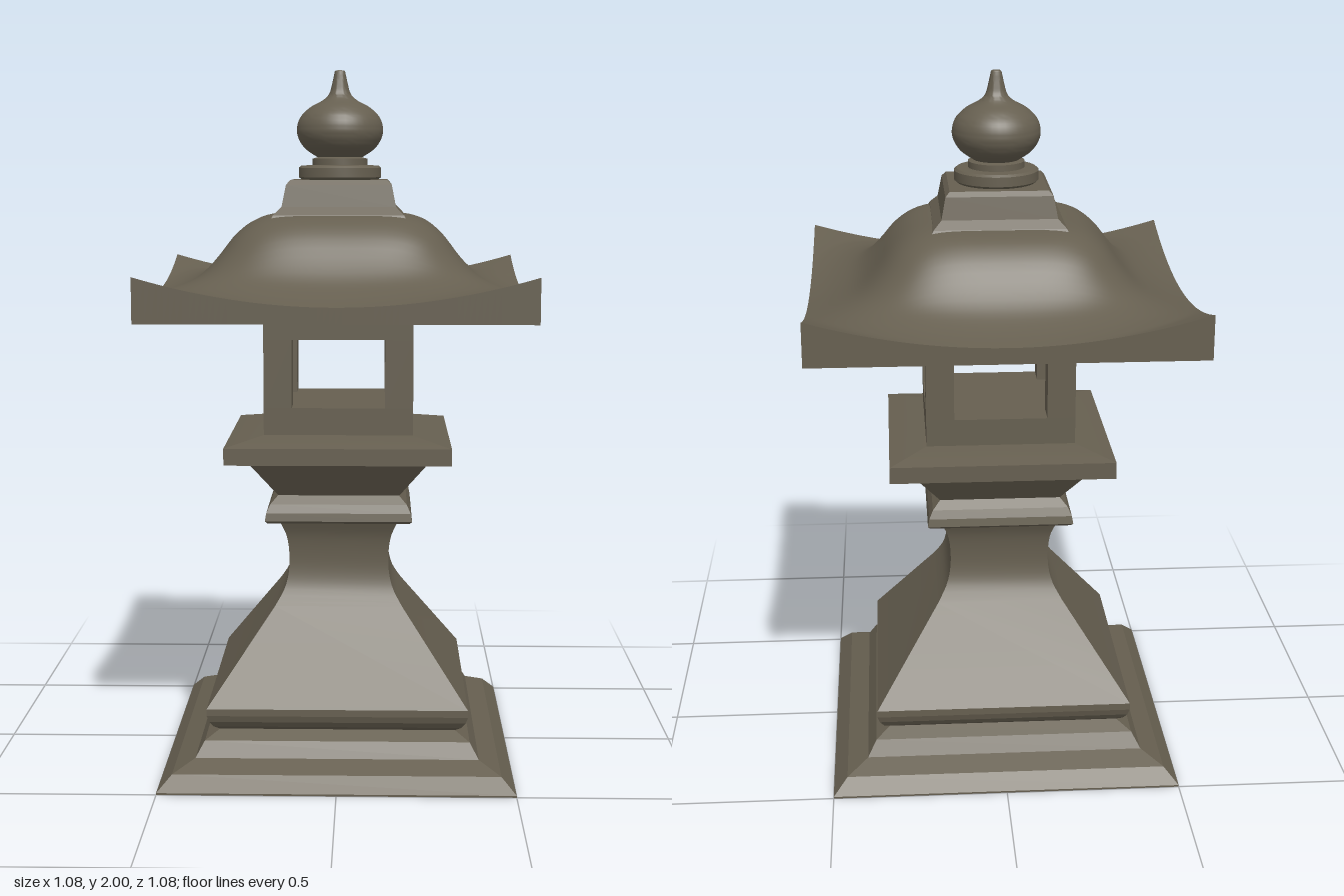
import * as THREE from 'three';
import { toCreasedNormals } from 'three/addons/utils/BufferGeometryUtils.js';

const stone = new THREE.MeshStandardMaterial({ color: 0x665f50 });
stone.name = 'weathered stone';

const vec = ([r, y]) => new THREE.Vector2(r, y);
const spline = (pts, n) => new THREE.SplineCurve(pts.map(vec)).getPoints(n).map((p) => [p.x, p.y]);

function add(parent, name, geometry) {
  const mesh = new THREE.Mesh(geometry, stone);
  mesh.name = name;
  parent.add(mesh);
  return mesh;
}

// square moulding: [half width, height] pairs from bottom to top, closed at both ends
function squareTurned(profile) {
  const closed = [[0, profile[0][1]], ...profile, [0, profile[profile.length - 1][1]]];
  const pts = closed.map(([r, y]) => vec([r * Math.SQRT2, y]));
  return toCreasedNormals(new THREE.LatheGeometry(pts, 4, Math.PI / 4), 0.24);
}

// roof height: a rounded-square dome that flares into upturned corners
const HALF = 0.54;
const dome = new THREE.SplineCurve([
  [0, 1.592], [0.1, 1.592], [0.19, 1.588], [0.25, 1.57], [0.3, 1.53], [0.34, 1.478],
  [0.38, 1.432], [0.42, 1.402], [0.48, 1.376], [0.54, 1.36],
].map(vec)).getPoints(180);
function domeHeight(d) {
  if (d >= HALF) return 1.36;
  const i = Math.max(1, dome.findIndex((p) => p.x >= d));
  const a = dome[i - 1], b = dome[i];
  return a.y + (b.y - a.y) * (d - a.x) / (b.x - a.x);
}
function roofHeight(x, z) {
  const d = Math.pow(x ** 4 + z ** 4, 0.25);
  return domeHeight(d) + 0.08 * ((x * z) / (HALF * HALF)) ** 2;
}
function roofGeometry() {
  const geo = new THREE.BoxGeometry(HALF * 2, 1, HALF * 2, 64, 1, 64);
  const p = geo.attributes.position;
  for (let i = 0; i < p.count; i++) {
    p.setY(i, p.getY(i) > 0 ? roofHeight(p.getX(i), p.getZ(i)) : 1.315);
  }
  geo.computeVertexNormals();
  return geo;
}

export function createModel() {
  const model = new THREE.Group();
  model.name = 'stoneLantern';

  // stepped plinth
  add(model, 'plinth', squareTurned([
    [0.5, 0], [0.5, 0.005], [0.46, 0.045], [0.4, 0.072], [0.375, 0.115], [0.335, 0.137],
  ]));

  // flared pedestal with a curved neck
  add(model, 'pedestal', squareTurned([
    [0.335, 0.137], [0.352, 0.149], [0.364, 0.166], [0.37, 0.185], [0.37, 0.205],
    ...spline([[0.185, 0.458], [0.158, 0.505], [0.146, 0.555], [0.145, 0.61], [0.152, 0.66], [0.168, 0.7]], 16),
  ]));

  // collar under the platform
  add(model, 'collar', squareTurned([
    [0.168, 0.7], [0.205, 0.708], [0.212, 0.715], [0.208, 0.738], [0.197, 0.762], [0.175, 0.785],
  ]));

  // platform carrying the firebox
  add(model, 'platform', squareTurned([
    [0.175, 0.785], [0.25, 0.885], [0.32, 0.897], [0.32, 0.945], [0.21, 0.968],
  ]));

  // firebox: sill, lintel and four corner posts, open on every side
  const firebox = new THREE.Group();
  firebox.name = 'firebox';
  model.add(firebox);
  const block = (name, w, y0, y1, x = 0, z = 0) =>
    add(firebox, name, new THREE.BoxGeometry(w, y1 - y0, w)).position.set(x, (y0 + y1) / 2, z);
  block('sill', 0.426, 0.96, 1.045);
  block('lintel', 0.426, 1.24, 1.32);
  for (const x of [-1, 1]) {
    for (const z of [-1, 1]) block('cornerPost', 0.08, 1.045, 1.24, x * 0.173, z * 0.173);
  }

  add(model, 'roof', roofGeometry());

  // square cap on the roof
  add(model, 'roofCap', squareTurned([
    [0.19, 1.58], [0.185, 1.59], [0.162, 1.613], [0.15, 1.675], [0.138, 1.688],
  ]));

  // round finial: ring, neck, bulb and spike
  const finial = [
    [0, 1.685], [0.108, 1.685], [0.12, 1.695], [0.12, 1.722], [0.113, 1.728], [0.08, 1.73], [0.08, 1.748],
    ...spline([
      [0.065, 1.752], [0.1, 1.776], [0.12, 1.805], [0.125, 1.835], [0.114, 1.868],
      [0.085, 1.896], [0.05, 1.915], [0.031, 1.934], [0.022, 1.965], [0.015, 1.997],
    ], 40),
    [0.012, 2], [0, 2],
  ];
  add(model, 'finial', toCreasedNormals(new THREE.LatheGeometry(finial.map(vec), 40), 0.6));

  return model;
}
